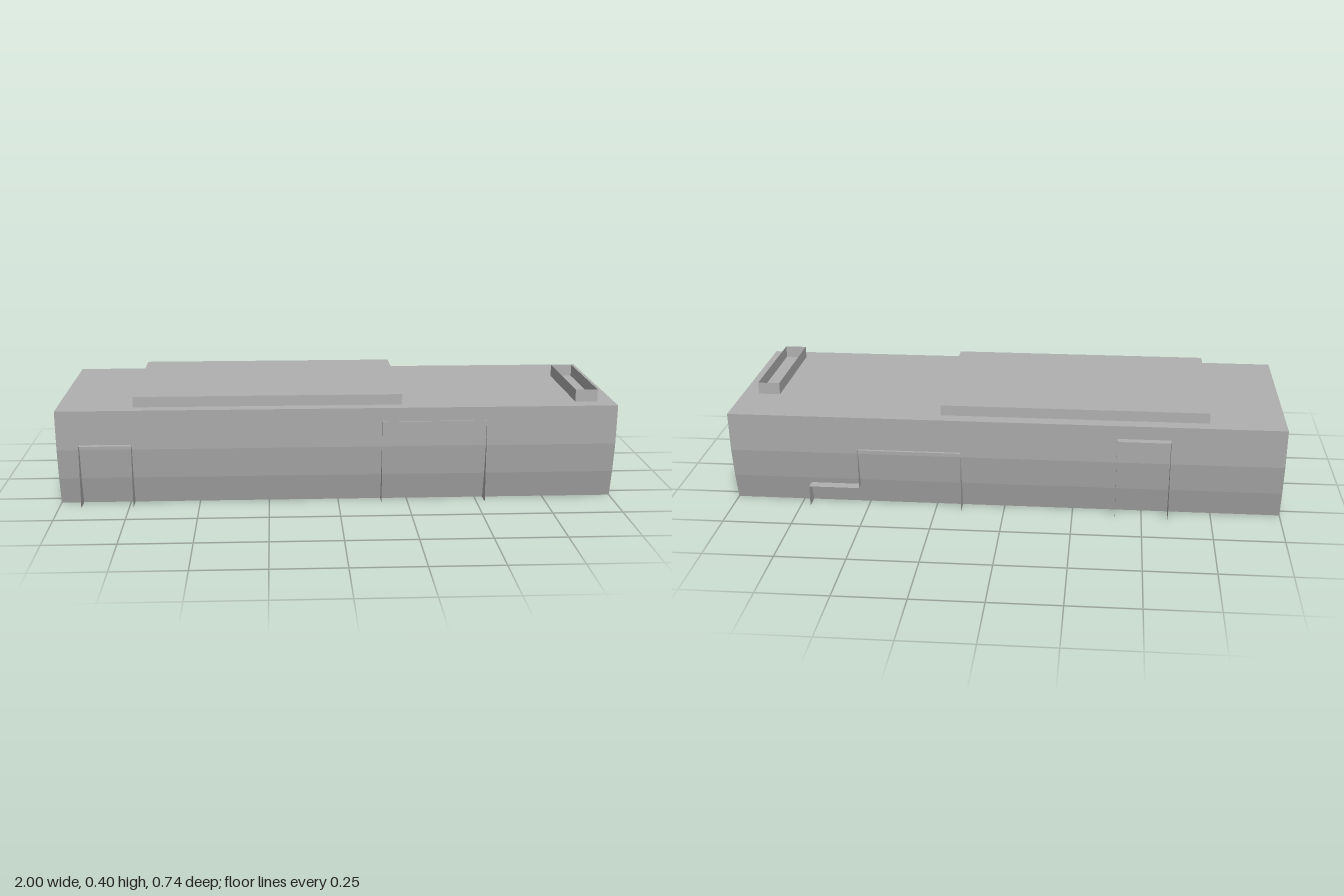
import * as THREE from 'three';

export function createModel() {
  const group = new THREE.Group();
  const grey = new THREE.MeshStandardMaterial({ color: 0xb0b0b0 });
  grey.name = 'plainGrey';
  grey.flatShading = true;
  const sheetGrey = grey; // thin sheets share the one colour
  sheetGrey.side = THREE.DoubleSide;

  const add = (name, geometry, parent = group) => {
    const mesh = new THREE.Mesh(geometry, grey);
    mesh.name = name;
    parent.add(mesh);
    return mesh;
  };

  // Hull: curved cross-section (z, y) swept along x
  const half = [[0.293, 0], [0.322, 0.1], [0.343, 0.21], [0.353, 0.354]];
  const offset = 0.007;
  const section = [
    ...half.map(([z, y]) => new THREE.Vector2(z + offset, y)),
    ...half.slice().reverse().map(([z, y]) => new THREE.Vector2(-z + offset, y)),
  ];
  const hull = new THREE.ExtrudeGeometry(new THREE.Shape(section), { depth: 2, bevelEnabled: false });
  hull.translate(0, 0, -1).rotateY(-Math.PI / 2);
  add('hull', hull);

  // Raised panel on the roof
  const panel = new THREE.BoxGeometry(0.96, 0.038, 0.605);
  panel.translate(-0.25, 0.373, 0.0075);
  add('roofPanel', panel);

  // Sheet swept from a path of points, extended along one vector
  function sheet(points, vector, closed = false) {
    const v = new THREE.Vector3(...vector);
    const pos = [];
    const count = closed ? points.length : points.length - 1;
    for (let i = 0; i < count; i++) {
      const a = new THREE.Vector3(...points[i]);
      const b = new THREE.Vector3(...points[(i + 1) % points.length]);
      const c = b.clone().add(v), d = a.clone().add(v);
      for (const p of [a, b, c, a, c, d]) pos.push(p.x, p.y, p.z);
    }
    const g = new THREE.BufferGeometry();
    g.setAttribute('position', new THREE.Float32BufferAttribute(pos, 3));
    g.computeVertexNormals();
    return g;
  }

  // Open rectangular collar near the right end of the roof
  const [x0, x1, z0, z1] = [0.86, 0.94, -0.132, 0.296];
  add('roofCollar', sheet(
    [[x0, 0.354, z1], [x1, 0.354, z1], [x1, 0.354, z0], [x0, 0.354, z0]],
    [0, 0.044, 0], true));

  // Thin opening frames standing out from the sides
  const frame = (name, outline, outerZ) => {
    const innerZ = Math.sign(outerZ) * 0.28;
    add(name, sheet(outline.map(([x, y]) => [x, y, outerZ]), [0, 0, innerZ - outerZ]));
  };
  const arch = (a, b, top) => [[a, 0], [a, top], [b, top], [b, 0]];
  frame('frontSmallFrame', arch(-0.92, -0.735, 0.228), 0.372);
  frame('frontWideFrame', arch(0.155, 0.53, 0.304), 0.362);
  frame('backSmallFrame', arch(-0.595, -0.405, 0.304), -0.371);
  frame('backSteppedFrame',
    [[0.155, 0], [0.155, 0.228], [0.53, 0.228], [0.53, 0.078], [0.715, 0.078], [0.715, 0]], -0.347);

  return group;
}
